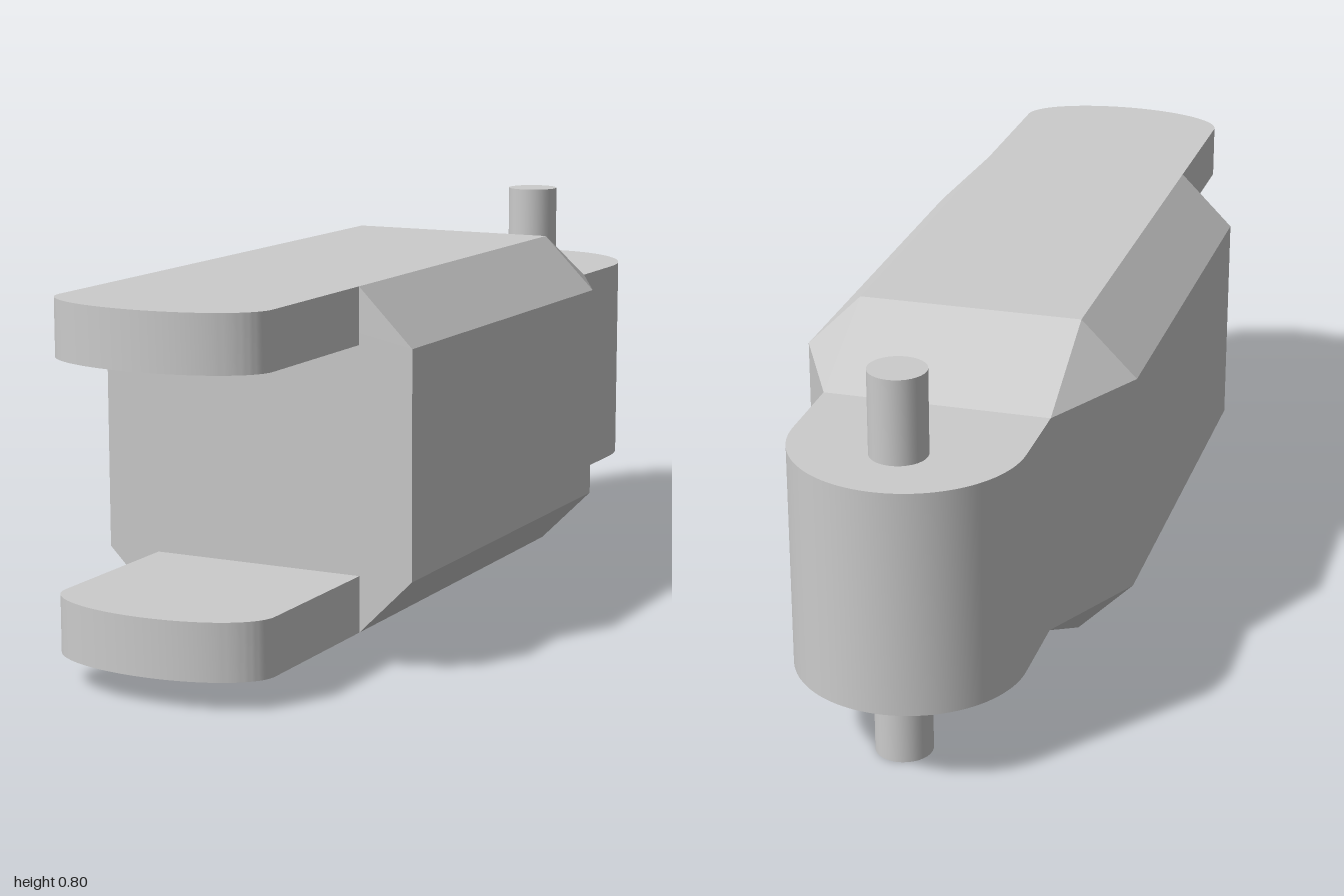
import * as THREE from 'three';
import { toCreasedNormals } from 'three/addons/utils/BufferGeometryUtils.js';
import { ConvexGeometry } from 'three/addons/geometries/ConvexGeometry.js';

const MID_Y = 0.4;      // height of the long axis
const OUTER = 0.343;    // half size of the body section
const INNER = 0.229;    // half size inside the chamfers
const FRONT_Z = 0.543, TAPER_Z = -0.371, NECK_Z = -0.6;

// Flat slab with one round end: outline in x/z, standing between two heights
function roundEndedSlab(startZ, arcZ, arcDepth, bottom, top) {
  const shape = new THREE.Shape();
  shape.moveTo(-INNER, startZ);
  shape.lineTo(INNER, startZ);
  shape.lineTo(INNER, arcZ);
  shape.absellipse(0, arcZ, INNER, Math.abs(arcDepth), 0, Math.PI * Math.sign(arcDepth), arcDepth < 0);
  shape.closePath();
  const geometry = new THREE.ExtrudeGeometry(shape, { depth: top - bottom, bevelEnabled: false, curveSegments: 32 });
  geometry.rotateX(Math.PI / 2).translate(0, top, 0);
  return toCreasedNormals(geometry, 0.5);
}

export function createModel() {
  const model = new THREE.Group();
  model.name = 'chainLink';
  const material = new THREE.MeshStandardMaterial({ color: 0xcccccc });
  const add = (name, geometry) => {
    const mesh = new THREE.Mesh(geometry, material);
    mesh.name = name;
    model.add(mesh);
    return mesh;
  };

  // Chamfered body, tapering at the back to a square neck
  const points = [];
  for (const sx of [-1, 1]) {
    for (const sy of [-1, 1]) {
      for (const z of [FRONT_Z, TAPER_Z]) {
        points.push(new THREE.Vector3(sx * OUTER, MID_Y + sy * INNER, z));
        points.push(new THREE.Vector3(sx * INNER, MID_Y + sy * OUTER, z));
      }
      points.push(new THREE.Vector3(sx * INNER, MID_Y + sy * INNER, NECK_Z));
    }
  }
  add('body', new ConvexGeometry(points));

  // Rounded lug behind the neck
  add('rearLug', roundEndedSlab(NECK_Z, -0.771, -0.229, MID_Y - INNER, MID_Y + INNER));

  // Pair of fork plates reaching forward
  add('upperForkPlate', roundEndedSlab(FRONT_Z, 0.886, 0.114, MID_Y + INNER, MID_Y + OUTER));
  add('lowerForkPlate', roundEndedSlab(FRONT_Z, 0.886, 0.114, MID_Y - OUTER, MID_Y - INNER));

  // Hinge pin through the lug
  add('hingePin', new THREE.CylinderGeometry(0.057, 0.057, 0.8, 32)).position.set(0, MID_Y, -0.829);

  return model;
}
